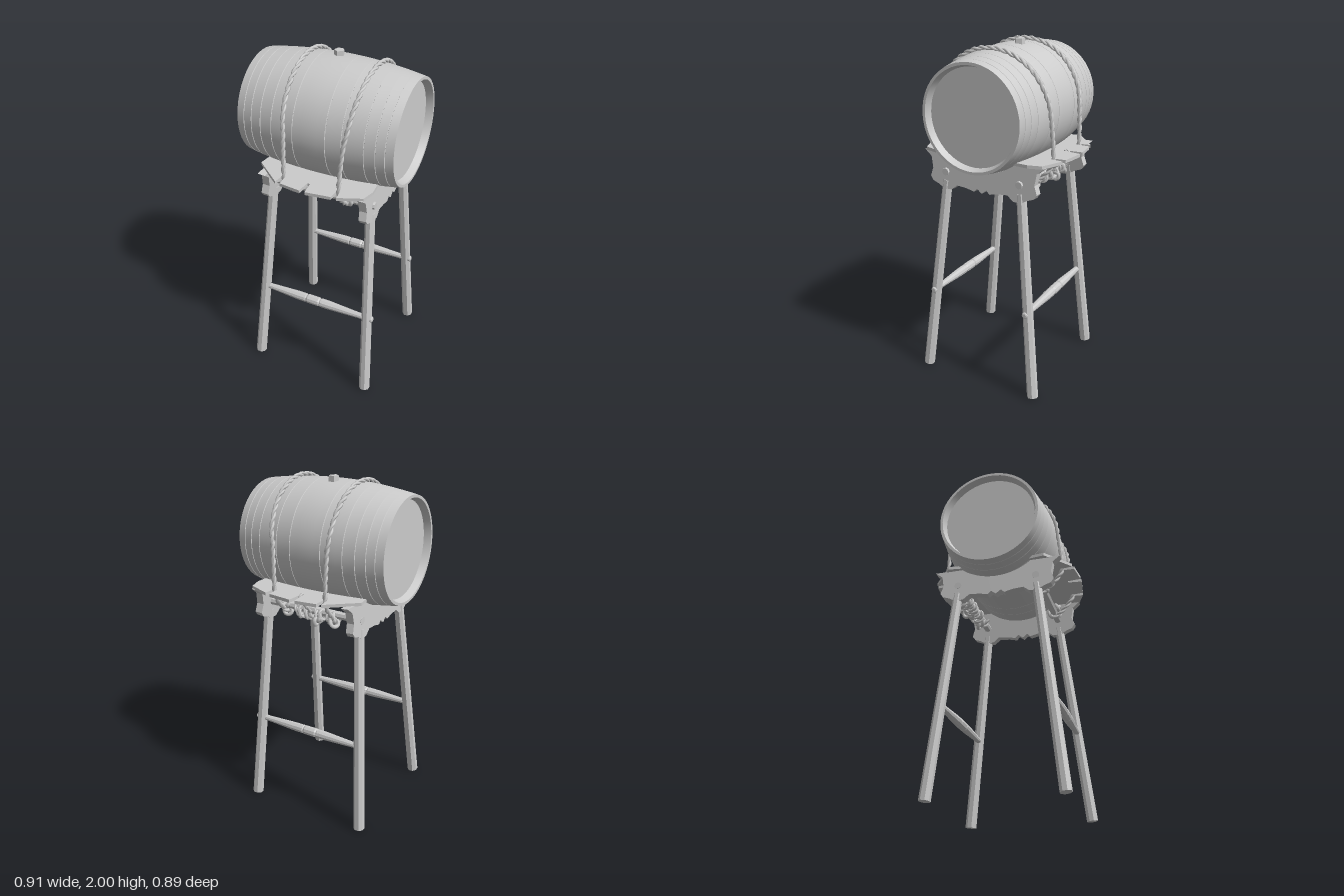
import * as THREE from 'three';
import { toCreasedNormals } from 'three/addons/utils/BufferGeometryUtils.js';

const smooth = new THREE.MeshStandardMaterial({ color: 0xcccccc });
const flat = new THREE.MeshStandardMaterial({ color: 0xcccccc, flatShading: true });
const AXIS_Y = 1.635, AXIS_Z = -0.005;
const V = (x, y, z) => new THREE.Vector3(x, y, z);
const barrelRadius = x => 0.34 - 0.2 * x * x;

function add(parent, name, geometry, material = smooth) {
  const mesh = new THREE.Mesh(geometry, material);
  mesh.name = name;
  parent.add(mesh);
  return mesh;
}

// Turned solid along x; profile is [x, radius] pairs from -x to +x
function turned(profile, segments, crease = 0.5) {
  const geo = new THREE.LatheGeometry(profile.map(([x, r]) => new THREE.Vector2(r, x)), segments);
  geo.rotateZ(-Math.PI / 2);
  return toCreasedNormals(geo, crease);
}

// Twisted rope: strands winding round a path
function rope(parent, name, points, radius = 0.013, strands = 2) {
  const path = new THREE.CatmullRomCurve3(points, false, 'centripetal');
  const length = path.getLength();
  const n = Math.ceil(length / 0.009);
  const frames = path.computeFrenetFrames(n, false);
  const group = new THREE.Group();
  group.name = name;
  for (let s = 0; s < strands; s++) {
    const pts = [];
    for (let i = 0; i <= n; i++) {
      const a = (i / n) * length * 2 * Math.PI / 0.1 + s * 2 * Math.PI / strands;
      pts.push(path.getPointAt(i / n)
        .addScaledVector(frames.normals[i], Math.cos(a) * radius * 0.45)
        .addScaledVector(frames.binormals[i], Math.sin(a) * radius * 0.45));
    }
    add(group, name + 'Strand', new THREE.TubeGeometry(new THREE.CatmullRomCurve3(pts), n, radius * 0.65, 6));
  }
  parent.add(group);
}

function buildBarrel(root) {
  const barrel = new THREE.Group();
  barrel.name = 'barrel';
  barrel.position.set(0, AXIS_Y, AXIS_Z);
  root.add(barrel);

  // Staves and hoops: bulging profile with narrow grooves and sunken heads
  const seams = [-0.41, -0.36, -0.3, -0.23, -0.1, 0.09, 0.18, 0.3, 0.36, 0.41];
  const profile = [[-0.415, 0], [-0.415, 0.27], [-0.455, 0.283], [-0.455, barrelRadius(0.455)]];
  let last = -0.455;
  for (const s of [...seams, 0.455]) {
    const steps = Math.max(1, Math.round((s - last) / 0.05));
    for (let i = 1; i < steps; i++) {
      const x = last + (s - last) * i / steps;
      profile.push([x, barrelRadius(x)]);
    }
    const r = barrelRadius(s);
    if (s < 0.45) profile.push([s - 0.002, r], [s, r - 0.004], [s + 0.002, r]);
    else profile.push([s, r]);
    last = s;
  }
  profile.push([0.455, 0.283], [0.415, 0.27], [0.415, 0]);
  add(barrel, 'barrelBody', turned(profile, 48));

  // Bung on top
  add(barrel, 'bung', new THREE.CylinderGeometry(0.028, 0.031, 0.04, 5), flat)
    .position.set(-0.007, 0.345, -0.04);
}

// Shaped end board that cradles the barrel
function bracketGeometry() {
  const half = [[0.38, 1.39], [0.337, 1.355], [0.326, 1.29], [0.342, 1.24], [0.325, 1.215], [0.285, 1.2],
    [0.25, 1.18], [0.2, 1.18], [0.163, 1.21], [0.1, 1.205], [0.05, 1.193], [0.03, 1.213], [0, 1.19]];
  const shape = new THREE.Shape();
  half.forEach(([z, y], i) => (i ? shape.lineTo(z, y) : shape.moveTo(z, y)));
  half.slice(0, -1).reverse().forEach(([z, y]) => shape.lineTo(-z, y));
  const r = 0.322, a = Math.asin((AXIS_Y - 1.39) / r);
  for (let i = 0; i <= 16; i++) {
    const t = Math.PI + a + (Math.PI - 2 * a) * i / 16;
    shape.lineTo(Math.cos(t) * r, AXIS_Y + Math.sin(t) * r);
  }
  const geo = new THREE.ExtrudeGeometry(shape, { depth: 0.044, bevelEnabled: false });
  return geo.translate(0, -1.29, -0.022).rotateY(-Math.PI / 2);
}

// Curved side board with three rope notches
function sideBoardGeometry(s) {
  const outline = [[-0.31, 0.17], [-0.325, 0.29], [-0.16, 0.425], [-0.152, 0.362], [-0.133, 0.36], [-0.13, 0.43],
    [-0.005, 0.445], [0.003, 0.365], [0.019, 0.365], [0.028, 0.446], [0.17, 0.427], [0.176, 0.36],
    [0.194, 0.358], [0.2, 0.422], [0.33, 0.367], [0.35, 0.29], [0.34, 0.17], [0.15, 0.2], [-0.15, 0.2]];
  const shape = new THREE.Shape(outline.map(([x, z]) => new THREE.Vector2(x, z * s)));
  return new THREE.ExtrudeGeometry(shape, { depth: 0.018, bevelEnabled: false })
    .rotateX(Math.PI / 2).translate(0, 1.406, 0);
}

function buildStand(root) {
  const stand = new THREE.Group();
  stand.name = 'stand';
  root.add(stand);

  for (const side of [-1, 1]) {
    const end = side < 0 ? 'right' : 'left';
    const bracket = add(stand, end + 'Bracket', bracketGeometry(), flat);
    bracket.position.set(side < 0 ? -0.28 : 0.312, 1.29, 0);
    bracket.rotation.z = side * 0.06;

    // Splayed legs
    for (const s of [1, -1]) {
      const foot = V(side < 0 ? -0.365 : 0.376, 0.003, s > 0 ? 0.385 : -0.353);
      const top = V(side < 0 ? -0.285 : 0.317, 1.23, 0.238 * s);
      const dir = top.clone().sub(foot);
      const geo = new THREE.CylinderGeometry(0.028, 0.033, dir.length(), 8).rotateY(Math.PI / 8);
      const leg = add(stand, end + (s > 0 ? 'FrontLeg' : 'BackLeg'), geo, flat);
      leg.position.copy(foot).add(top).multiplyScalar(0.5);
      leg.quaternion.setFromUnitVectors(V(0, 1, 0), dir.normalize());
    }
  }

  // Turned stretchers with a beaded middle
  const lower = [[-0.345, 0], [-0.345, 0.017], [-0.28, 0.018], [-0.1, 0.027], [-0.05, 0.027], [-0.045, 0.022],
    [-0.035, 0.028], [0.035, 0.028], [0.045, 0.022], [0.05, 0.027], [0.1, 0.027], [0.29, 0.018],
    [0.385, 0.018], [0.39, 0.012], [0.39, 0]];
  const upper = [[-0.305, 0], [-0.305, 0.022], [-0.2, 0.022], [-0.05, 0.025], [0.05, 0.025], [0.2, 0.022],
    [0.335, 0.023], [0.346, 0.021], [0.346, 0]];
  for (const s of [1, -1]) {
    const place = s > 0 ? 'front' : 'back';
    add(stand, place + 'SideBoard', sideBoardGeometry(s), flat);
    add(stand, place + 'LowerStretcher', turned(lower, 10)).position.set(0, 0.53, s > 0 ? 0.322 : -0.3);
    add(stand, place + 'UpperStretcher', turned(upper, 8)).position.set(0, 1.282, 0.236 * s);
  }
}

function buildRopes(root) {
  const ropes = new THREE.Group();
  ropes.name = 'ropes';
  root.add(ropes);

  // Lashings: up through a notch, over the barrel, down to the other stretcher
  for (const [low, high] of [[-0.143, -0.163], [0.184, 0.232]]) {
    const r = barrelRadius(high) + 0.011;
    const pts = [V(low, 1.29, 0.2), V(low, 1.25, 0.225), V(low, 1.27, 0.27), V(low, 1.37, 0.355), V(low, 1.42, 0.36)];
    for (let i = 0; i <= 16; i++) {
      const a = 0.08 + (Math.PI - 0.16) * i / 16;
      const x = low + (high - low) * Math.sqrt(Math.sin(a));
      pts.push(V(x, AXIS_Y + Math.sin(a) * r, AXIS_Z + Math.cos(a) * r));
    }
    pts.push(V(low, 1.42, -0.36), V(low, 1.37, -0.355), V(low, 1.27, -0.27), V(low, 1.25, -0.225), V(low, 1.29, -0.2));
    rope(ropes, 'lashing', pts);
  }

  // Spare rope coiled round the back stretcher
  const coil = [], turns = 8;
  for (let i = 0; i <= turns * 10; i++) {
    const a = i * Math.PI / 5, r = 0.03 + 0.008 * Math.sin(a * 0.37);
    coil.push(V(-0.15 + 0.27 * i / (turns * 10) + 0.01 * Math.sin(a * 0.5),
      1.262 + Math.cos(a) * r, -0.24 + Math.sin(a) * r));
  }
  rope(ropes, 'coiledRope', coil, 0.012);
  // Strand from the middle notch to the coil
  rope(ropes, 'middleTie', [V(0.011, 1.412, -0.345), V(0.011, 1.4, -0.368), V(0.011, 1.36, -0.345), V(0.011, 1.28, -0.265)], 0.009);

  // Knots
  const knots = [[0.195, 1.3, 0.255, 0.026], [0.17, 1.265, -0.25, 0.024], [-0.14, 1.255, -0.25, 0.026],
    [-0.03, 1.24, -0.26, 0.022], [-0.143, 1.275, 0.245, 0.02]];
  knots.forEach(([x, y, z, r], i) => {
    const knot = add(ropes, 'knot', new THREE.TorusKnotGeometry(r, 0.011, 48, 6));
    knot.position.set(x, y, z);
    knot.rotation.set(0.4 * i, 0.7 * i, 0.5);
  });
}

export function createModel() {
  const root = new THREE.Group();
  root.name = 'barrelOnStand';
  buildBarrel(root);
  buildStand(root);
  buildRopes(root);
  return root;
}
